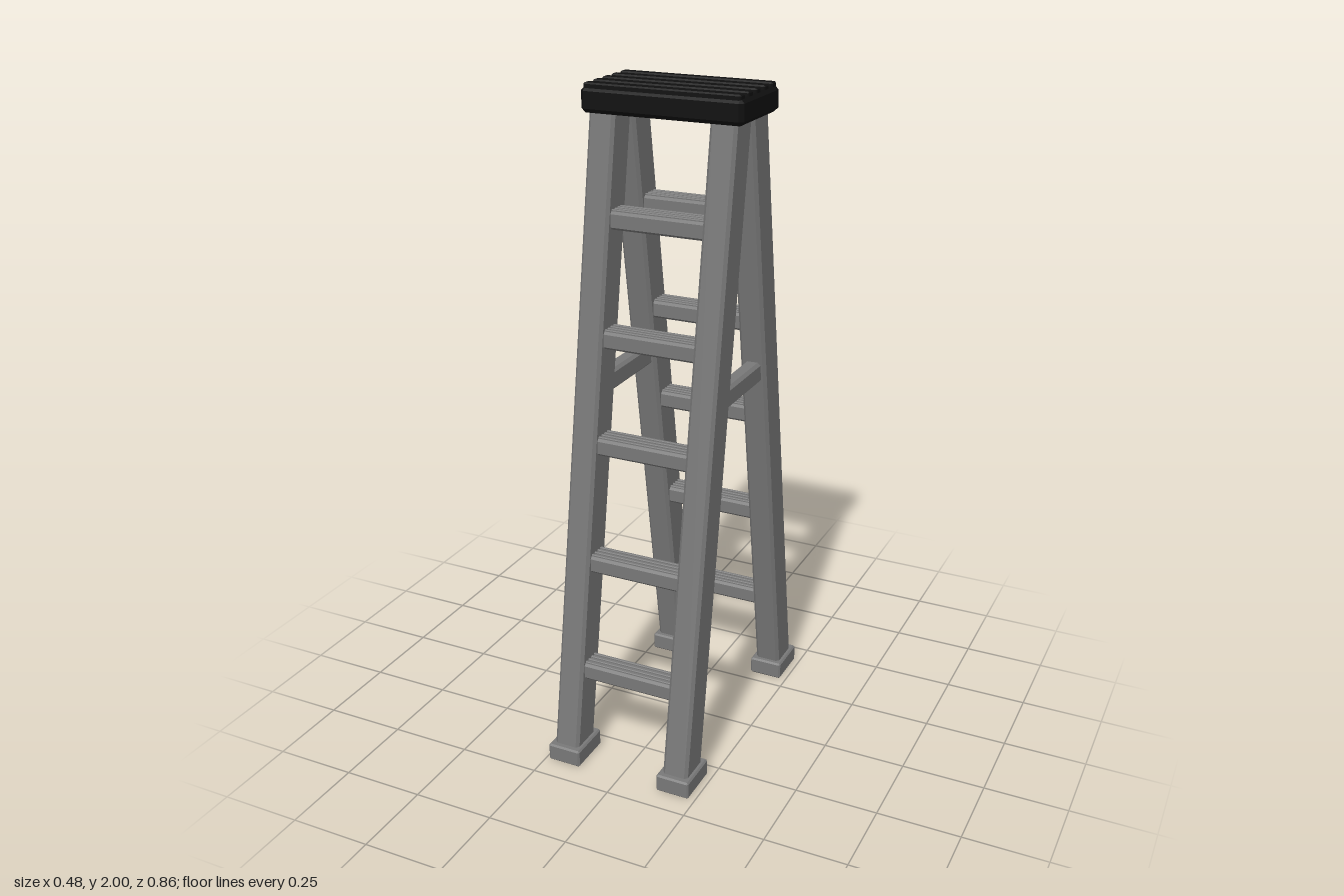
import * as THREE from 'three';
import { ConvexGeometry } from 'three/addons/geometries/ConvexGeometry.js';

const greyMetal = new THREE.MeshStandardMaterial({ color: 0x787878 });
greyMetal.name = 'greyMetal';
const blackPlastic = new THREE.MeshStandardMaterial({ color: 0x101010 });
blackPlastic.name = 'blackPlastic';

// Box with all edges cut by a flat chamfer c
function chamferBox(w, h, d, c) {
  const points = [];
  for (const x of [-1, 1]) for (const y of [-1, 1]) for (const z of [-1, 1]) {
    for (let full = 0; full < 3; full++) {
      const inset = [c, c, c];
      inset[full] = 0;
      points.push(new THREE.Vector3(
        x * (w / 2 - inset[0]), y * (h / 2 - inset[1]), z * (d / 2 - inset[2])));
    }
  }
  return new ConvexGeometry(points);
}

function part(name, geometry, material, x, y, z) {
  const mesh = new THREE.Mesh(geometry, material);
  mesh.name = name;
  mesh.position.set(x, y, z);
  return mesh;
}

const MID_X = -0.004;   // rails sit a hair off the centre line
const RAIL_X = 0.182;
const SLOPE = 0.162;    // how far a rail leans in per unit of height
const railZ = (y) => 0.36 - (y - 0.05) * SLOPE;
const RUNG_HEIGHTS = [0.298, 0.633, 0.987, 1.297, 1.632];

// One ladder frame: two leaning rails, feet and rungs; s = 1 front, -1 back
function ladderFrame(s) {
  const frame = new THREE.Group();
  frame.name = s > 0 ? 'frontFrame' : 'backFrame';

  const bottom = 0.03, top = 1.95, middle = (bottom + top) / 2;
  const lean = new THREE.Matrix4().set(
    1, 0, 0, 0,
    0, 1, 0, 0,
    0, -s * SLOPE, 1, 0,
    0, 0, 0, 1);
  const railGeometry = chamferBox(0.08, top - bottom, 0.105, 0.009).applyMatrix4(lean);
  const footGeometry = chamferBox(0.105, 0.055, 0.14, 0.005);
  for (const side of [-1, 1]) {
    const x = MID_X + side * RAIL_X;
    frame.add(part('rail', railGeometry, greyMetal, x, middle, s * railZ(middle)));
    frame.add(part('foot', footGeometry, greyMetal, x, 0.0275, s * 0.36));
  }

  // Rungs with shallow grip ridges on the tread
  const rungGeometry = chamferBox(0.3, 0.052, 0.076, 0.007);
  const ridgeGeometry = chamferBox(0.3, 0.012, 0.009, 0.002);
  for (const y of RUNG_HEIGHTS) {
    const rung = new THREE.Group();
    rung.name = 'rung';
    rung.position.set(MID_X, y, s * railZ(y));
    rung.add(part('tread', rungGeometry, greyMetal, 0, -0.003, 0));
    for (let i = -1.5; i <= 1.5; i++) {
      rung.add(part('gripRidge', ridgeGeometry, greyMetal, 0, 0.022, i * 0.017));
    }
    frame.add(rung);
  }
  return frame;
}

export function createModel() {
  const ladder = new THREE.Group();
  ladder.name = 'stepladder';
  ladder.add(ladderFrame(1), ladderFrame(-1));

  // Spreader bars joining the front and back rails
  const spreaderGeometry = chamferBox(0.05, 0.065, 0.3, 0.009);
  for (const side of [-1, 1]) {
    ladder.add(part('spreader', spreaderGeometry, greyMetal, MID_X + side * RAIL_X, 1.143, 0));
  }

  // Top cap with five raised ribs
  const cap = new THREE.Group();
  cap.name = 'topCap';
  cap.add(part('capBody', chamferBox(0.484, 0.072, 0.26, 0.012), blackPlastic, 0, 1.954, 0));
  const ribGeometry = chamferBox(0.466, 0.03, 0.03, 0.004);
  for (let i = -2; i <= 2; i++) {
    cap.add(part('capRib', ribGeometry, blackPlastic, 0, 1.985, i * 0.054));
  }
  ladder.add(cap);
  return ladder;
}
